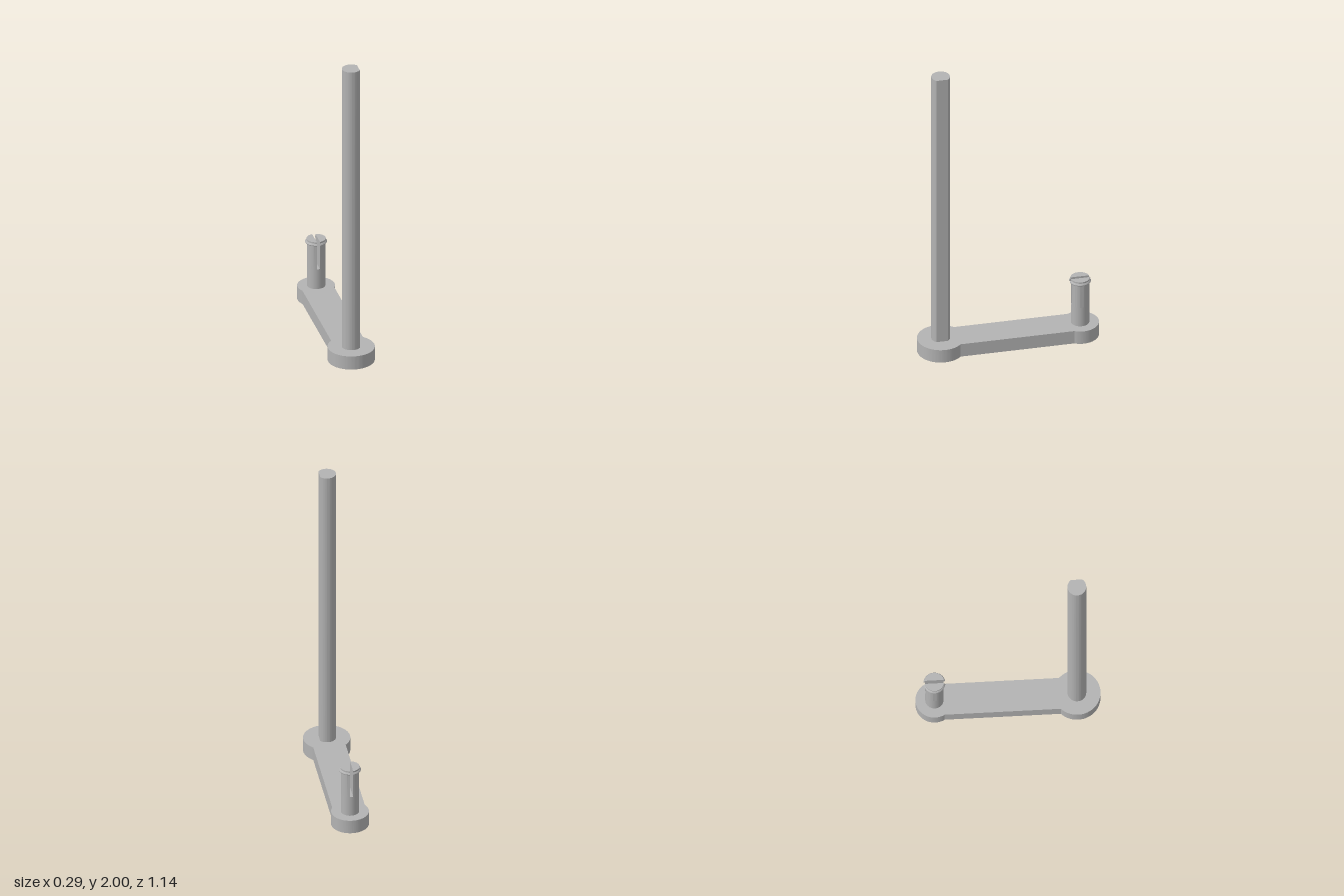
import * as THREE from 'three';
import { toCreasedNormals } from 'three/addons/utils/BufferGeometryUtils.js';

const FRONT_Z = 0.424, BACK_Z = -0.457, BASE_H = 0.09;

// Lofts [y, radius] levels of a circle cut off flat, keeping x <= cut
function cutRound(levels, cut, segments = 48) {
  const pos = [], index = [], n = segments + 1;
  for (const [y, r] of levels) {
    const a = Math.acos(cut / r);
    for (let i = 0; i < n; i++) {
      const t = a + (2 * Math.PI - 2 * a) * i / segments;
      pos.push(r * Math.cos(t), y, -r * Math.sin(t));
    }
  }
  for (let k = 0; k < levels.length - 1; k++) {
    for (let i = 0; i < n; i++) {
      const a = k * n + i, b = k * n + (i + 1) % n;
      index.push(a, b, b + n, a, b + n, a + n);
    }
  }
  const top = (levels.length - 1) * n;
  for (let i = 1; i < n - 1; i++) {
    index.push(top, top + i, top + i + 1, 0, i + 1, i);
  }
  const g = new THREE.BufferGeometry();
  g.setAttribute('position', new THREE.Float32BufferAttribute(pos, 3));
  g.setIndex(index);
  return toCreasedNormals(g, 0.5);
}

export function createModel() {
  const group = new THREE.Group();
  const grey = new THREE.MeshStandardMaterial({ color: 0xb3b3b3 });
  grey.name = 'grey';

  const add = (name, geometry, x, y, z) => {
    const mesh = new THREE.Mesh(geometry, grey);
    mesh.name = name;
    mesh.position.set(x, y, z);
    group.add(mesh);
    return mesh;
  };

  // Base arm: large front disc and smaller back disc joined by a straight bar
  const half = 0.1015, rFront = 0.146, rBack = 0.117;
  const aFront = Math.asin(half / rFront), aBack = Math.asin(half / rBack);
  const outline = new THREE.Shape();
  outline.absarc(0, -FRONT_Z, rFront, Math.PI / 2 + aFront, Math.PI * 2.5 - aFront, false);
  outline.absarc(0, -BACK_Z, rBack, -Math.PI / 2 + aBack, Math.PI * 1.5 - aBack, false);
  outline.closePath();
  const arm = new THREE.ExtrudeGeometry(outline, { depth: BASE_H, bevelEnabled: false, curveSegments: 48 });
  arm.rotateX(-Math.PI / 2);
  add('baseArm', toCreasedNormals(arm, 0.4), 0, 0, 0);

  // Tall shaft with a flat along its left side
  add('shaft', cutRound([[BASE_H, 0.058], [2, 0.058]], 0.046), 0, 0, FRONT_Z);

  // Short pin: solid below, split by a slot above, with a snap ridge near the top
  const slotY = 0.225, pinR = 0.057;
  add('pinStem', new THREE.CylinderGeometry(pinR, pinR, slotY - BASE_H, 48),
    0, (slotY + BASE_H) / 2, BACK_Z);
  const levels = [[slotY, pinR], [0.384, pinR], [0.388, 0.066], [0.393, 0.068],
    [0.398, 0.066], [0.403, 0.06], [0.413, 0.06]];
  const prong = cutRound(levels, -0.01);
  add('rightProng', prong, 0, 0, BACK_Z);
  add('leftProng', prong, 0, 0, BACK_Z).rotation.y = Math.PI;

  return group;
}
